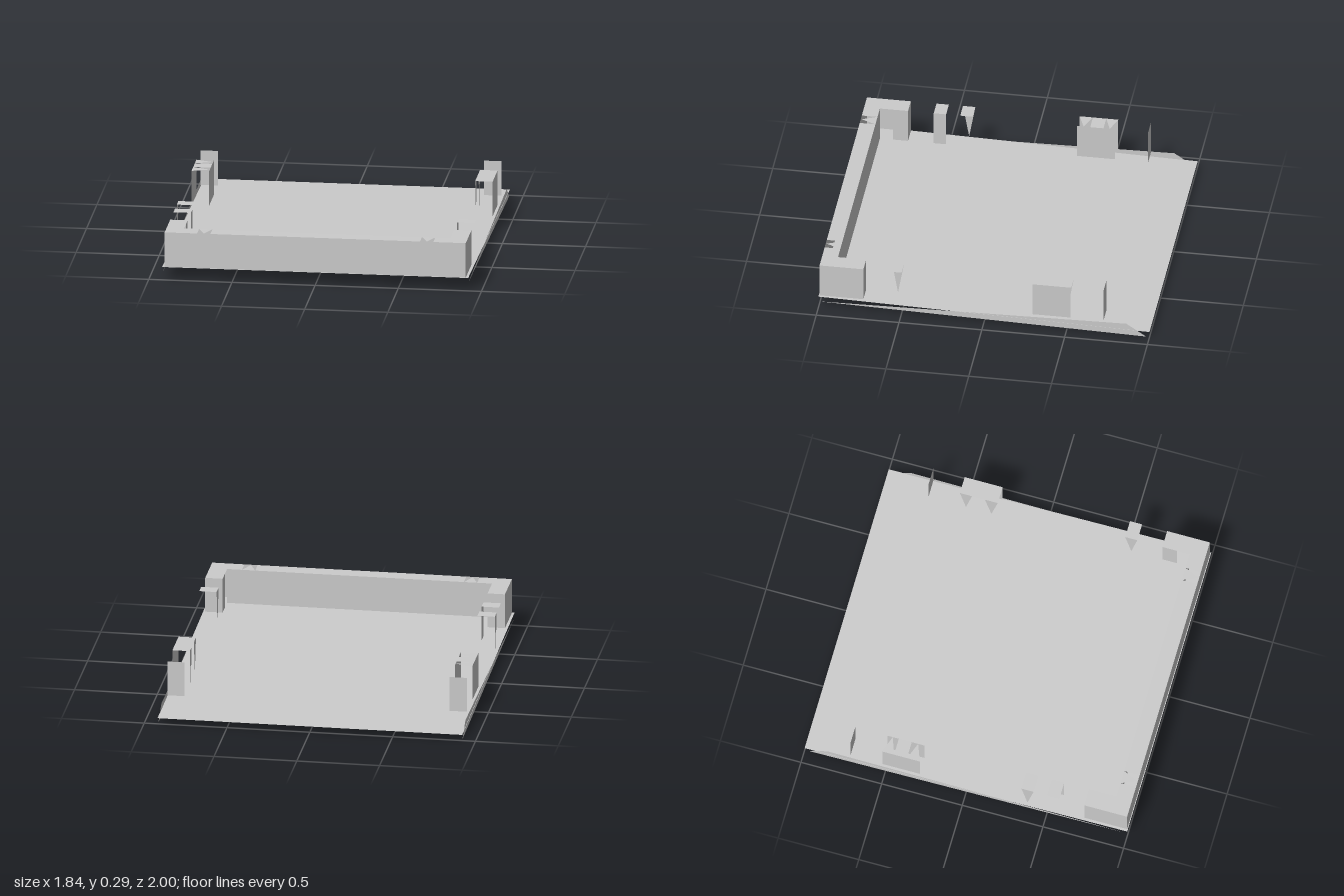
import * as THREE from 'three';

const LOW = 0.08, TOP = 0.295, OUT = 0.905, IN = 0.8;

export function createModel() {
  const model = new THREE.Group();
  const grey = new THREE.MeshStandardMaterial({
    color: 0xcccccc, flatShading: true, side: THREE.DoubleSide,
  });

  // Flat convex sheet, given by its corners in order
  function sheet(name, corners) {
    const geo = new THREE.BufferGeometry();
    geo.setAttribute('position', new THREE.Float32BufferAttribute(corners.flat(), 3));
    const index = [];
    for (let i = 1; i < corners.length - 1; i++) index.push(0, i, i + 1);
    geo.setIndex(index);
    geo.computeVertexNormals();
    const mesh = new THREE.Mesh(geo, grey);
    mesh.name = name;
    model.add(mesh);
  }

  // Upright panel facing z, upright panel facing x, level cap
  const across = (name, x0, x1, z) =>
    sheet(name, [[x0, LOW, z], [x1, LOW, z], [x1, TOP, z], [x0, TOP, z]]);
  const along = (name, x, z0, z1) =>
    sheet(name, [[x, LOW, z0], [x, TOP, z0], [x, TOP, z1], [x, LOW, z1]]);
  const cap = (name, x0, x1, z0, z1) =>
    sheet(name, [[x0, TOP, z0], [x0, TOP, z1], [x1, TOP, z1], [x1, TOP, z0]]);
  // Upright triangle pointing down
  const spike = (name, x, z0, z1) =>
    sheet(name, [[x, TOP, z0], [x, TOP, z1], [x, LOW, (z0 + z1) / 2]]);

  // Sloping floor
  sheet('floor', [[-0.92, 0.08, 1], [0.92, 0.08, 1], [0.92, 0.036, -1], [-0.92, 0.036, -1]]);

  // Front wall, its inner face and its coping
  across('frontWall', -OUT, OUT, 0.995);
  across('frontWallInner', -IN, IN, 0.9);
  cap('frontCoping', -0.63, 0.63, 0.9, 0.995);

  for (const s of [-1, 1]) {
    // Tapered side skirt
    sheet('sideSkirt', [[s * 0.918, 0.045, 1], [s * 0.918, 0.08, -0.86], [s * 0.918, 0, -0.98]]);

    // Coping end with a triangular infill
    sheet('copingInfill', [[s * 0.63, TOP, 0.9], [s * 0.67, TOP, 0.99], [s * 0.71, TOP, 0.9]]);
    cap('copingEnd', s * 0.71, s * OUT, 0.9, 0.995);

    // Front corner return
    cap('cornerCap', s * IN, s * OUT, 0.73, 0.9);
    along('cornerOuter', s * OUT, 0.73, 0.995);
    along('cornerInner', s * IN, 0.73, 0.82);
    across('cornerEnd', s * IN, s * OUT, 0.73);

    // Free-standing rear panel and outer side of the rear post
    across('rearPanel', s * IN, s * OUT, -0.72);
    along('rearPostOuter', s * OUT, -0.52, -0.29);

    // Cap of the middle post
    cap('middlePostCap', s * IN, s * OUT, 0.5, 0.575);
  }

  // Middle posts
  spike('middlePostSpike', IN, 0.5, 0.575);
  along('middlePostPanel', -IN, 0.5, 0.575);
  cap('smallPostCap', -OUT, -IN, 0.34, 0.415);
  spike('smallPostSpike', -OUT, 0.34, 0.415);

  // Rear post with a full cap
  cap('rearPostCap', IN, OUT, -0.525, -0.29);
  // Rear post with a split cap
  cap('rearPostCap', -OUT, -IN, -0.45, -0.37);
  along('rearPostInner', -IN, -0.52, -0.29);
  for (const [z0, z1] of [[-0.525, -0.45], [-0.37, -0.29]]) {
    spike('rearPostSpike', IN, z0, z1);
    sheet('rearCapInfill', [[-OUT, TOP, z0], [-OUT, TOP, z1], [-IN, TOP, (z0 + z1) / 2]]);
  }

  return model;
}
